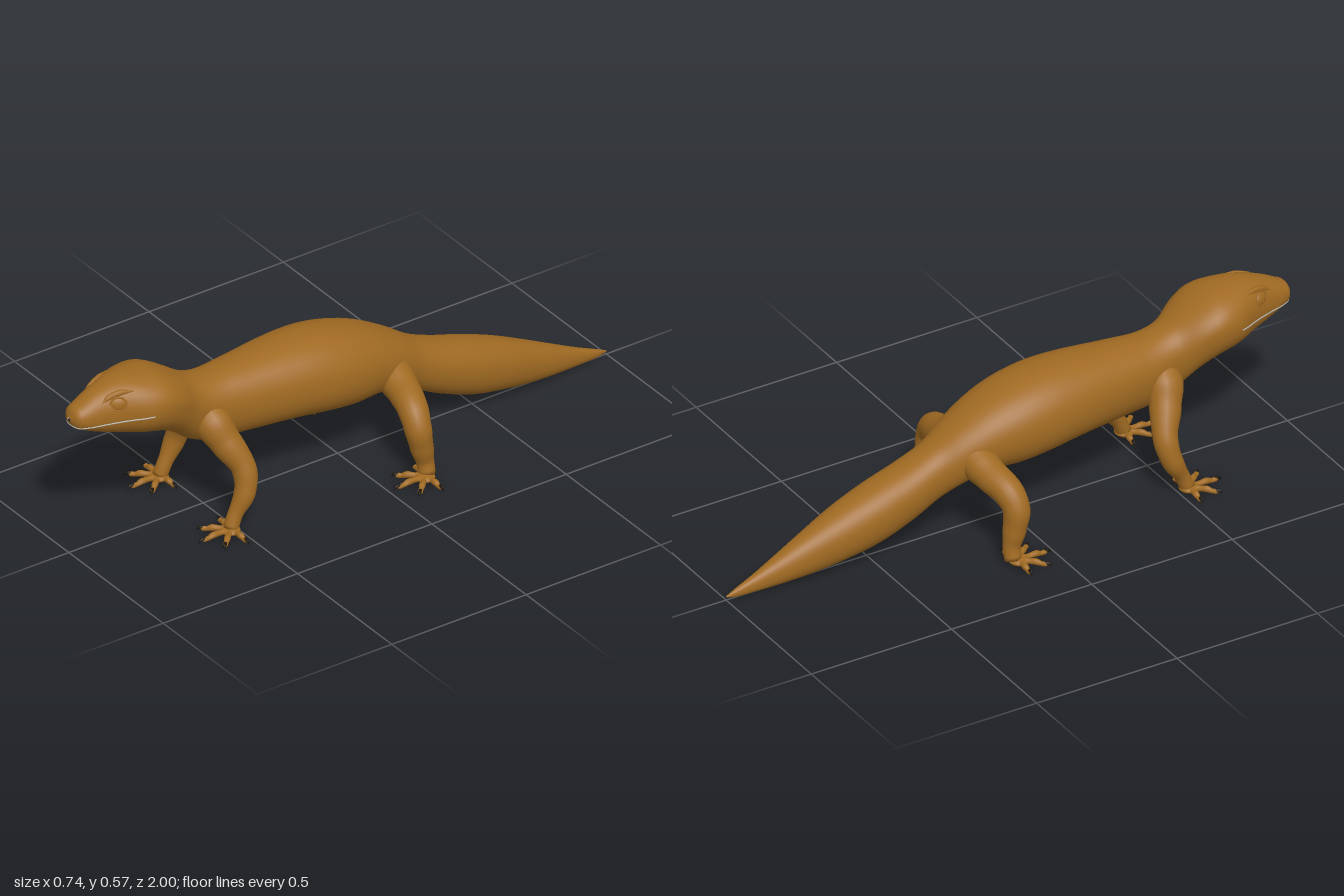
import * as THREE from 'three';

const skin = new THREE.MeshStandardMaterial({ color: 0xa06a22 });
const dark = new THREE.MeshStandardMaterial({ color: 0x1c150c });
const lip = new THREE.MeshStandardMaterial({ color: 0xb4b4b0 });

// Body sections from tail to nose: z, bottom, top, half width, height of widest point
const SECTIONS = [
  [-1, 0.012, 0.016, 0.002, 0.014], [-0.97, 0.006, 0.03, 0.009, 0.018],
  [-0.9, 0.005, 0.06, 0.021, 0.03], [-0.8, 0.008, 0.108, 0.04, 0.055],
  [-0.7, 0.015, 0.157, 0.058, 0.085], [-0.6, 0.03, 0.203, 0.075, 0.118],
  [-0.48, 0.055, 0.248, 0.086, 0.155], [-0.36, 0.1, 0.287, 0.085, 0.2],
  [-0.27, 0.145, 0.328, 0.082, 0.24], [-0.2, 0.175, 0.375, 0.1, 0.28],
  [-0.1, 0.203, 0.43, 0.125, 0.315], [0, 0.203, 0.465, 0.143, 0.33],
  [0.1, 0.215, 0.484, 0.147, 0.34], [0.2, 0.227, 0.487, 0.139, 0.35],
  [0.4, 0.237, 0.475, 0.11, 0.36], [0.5, 0.243, 0.472, 0.095, 0.37],
  [0.57, 0.268, 0.492, 0.09, 0.4], [0.64, 0.322, 0.535, 0.116, 0.455],
  [0.7, 0.355, 0.565, 0.13, 0.475], [0.77, 0.374, 0.574, 0.122, 0.475],
  [0.84, 0.392, 0.573, 0.09, 0.475], [0.91, 0.414, 0.552, 0.064, 0.472],
  [0.965, 0.438, 0.524, 0.048, 0.475], [0.99, 0.452, 0.508, 0.033, 0.48],
  [1, 0.474, 0.486, 0.008, 0.48],
];
const POWER = 2.2;
const profile = new THREE.CubicInterpolant(
  SECTIONS.map((s) => s[0]), SECTIONS.flatMap((s) => s.slice(1)), 4);
const sectionAt = (z) => Array.from(profile.evaluate(z));

// Half width of the body at a given z and height
function sideX(z, y) {
  const [bottom, top, width, mid] = sectionAt(z);
  const d = Math.min(1, Math.abs(y - mid) / (y > mid ? top - mid : mid - bottom));
  return width * Math.pow(1 - Math.pow(d, POWER), 1 / POWER);
}

// Skin a list of closed rings of points
function loft(rings) {
  const n = rings[0].length;
  const index = [];
  for (let i = 0; i < rings.length - 1; i++) {
    for (let j = 0; j < n; j++) {
      const a = i * n + j, b = i * n + ((j + 1) % n);
      index.push(a, b, a + n, b, b + n, a + n);
    }
  }
  const geometry = new THREE.BufferGeometry().setFromPoints(rings.flat());
  geometry.setIndex(index);
  geometry.computeVertexNormals();
  return geometry;
}

// Round sweep through [x, y, z, radius] points, closed at both ends
function sweep(points, steps, sides) {
  const curve = new THREE.CatmullRomCurve3(points.map((p) => new THREE.Vector3(p[0], p[1], p[2])));
  const frames = curve.computeFrenetFrames(steps);
  const rings = [];
  for (let i = 0; i <= steps; i++) {
    const t = curve.getUtoTmapping(i / steps);
    const k = Math.min(t * (points.length - 1), points.length - 1.0001);
    const f = Math.floor(k);
    const r = THREE.MathUtils.lerp(points[f][3], points[f + 1][3], THREE.MathUtils.smoothstep(k - f, 0, 1));
    const centre = curve.getPoint(t);
    rings.push(Array.from({ length: sides }, (_, j) => {
      const a = (j / sides) * Math.PI * 2;
      return centre.clone()
        .addScaledVector(frames.normals[i], Math.cos(a) * r)
        .addScaledVector(frames.binormals[i], Math.sin(a) * r);
    }));
  }
  const cap = (ring) => {
    const c = ring.reduce((s, p) => s.add(p), new THREE.Vector3()).divideScalar(sides);
    return ring.map((p) => p.clone().lerp(c, 0.999));
  };
  return loft([cap(rings[0]), ...rings, cap(rings[steps])]);
}

function add(parent, name, geometry, material = skin) {
  const mesh = new THREE.Mesh(geometry, material);
  mesh.name = name;
  parent.add(mesh);
  return mesh;
}

function bodyGeometry() {
  const rings = [];
  const sides = 40, per = 4;
  for (let i = 0; i <= (SECTIONS.length - 1) * per; i++) {
    const k = Math.min(Math.floor(i / per), SECTIONS.length - 2);
    const z = THREE.MathUtils.lerp(SECTIONS[k][0], SECTIONS[k + 1][0], i / per - k);
    const [bottom, top, width, mid] = sectionAt(z);
    rings.push(Array.from({ length: sides }, (_, j) => {
      const a = (j / sides) * Math.PI * 2;
      const c = Math.cos(a), s = Math.sin(a);
      const round = (v) => Math.sign(v) * Math.pow(Math.abs(v), 2 / POWER);
      return new THREE.Vector3(width * round(c), mid + round(s) * (s > 0 ? top - mid : mid - bottom), z);
    }));
  }
  return loft(rings);
}

// Flat palm with five knuckled toes, each ending in a hooked claw
function foot(name, x, z, side) {
  const group = new THREE.Group();
  group.name = name;
  group.position.set(x * side, 0, z);
  const palm = add(group, 'palm', new THREE.SphereGeometry(1, 20, 12));
  palm.scale.set(0.034, 0.013, 0.032);
  palm.position.set(0, 0.016, 0.004);
  const tips = [[-0.082, -0.008], [-0.07, 0.08], [0.0, 0.12], [0.075, 0.078], [0.092, -0.002]];
  for (const [tx, tz] of tips) {
    const at = (t, y, r) => [tx * t * side, y, tz * t, r];
    add(group, 'toe', sweep([at(0.1, 0.016, 0.011), at(0.35, 0.017, 0.009),
      at(0.55, 0.018, 0.0105), at(0.7, 0.013, 0.0075), at(0.84, 0.014, 0.0085), at(0.88, 0.014, 0.004)], 14, 10));
    add(group, 'claw', sweep([at(0.8, 0.017, 0.006), at(0.92, 0.017, 0.005),
      at(1, 0.006, 0.0005)], 6, 8), dark);
  }
  return group;
}

const FRONT_LEG = [[0.04, 0.37, 0.52, 0.05], [0.075, 0.33, 0.515, 0.06], [0.115, 0.275, 0.495, 0.05],
  [0.165, 0.2, 0.465, 0.039], [0.186, 0.13, 0.475, 0.034], [0.186, 0.06, 0.512, 0.024], [0.188, 0.018, 0.53, 0.024]];
const HIND_LEG = [[0.04, 0.29, -0.16, 0.06], [0.1, 0.265, -0.15, 0.058], [0.155, 0.248, -0.142, 0.052],
  [0.215, 0.228, -0.128, 0.048], [0.254, 0.182, -0.12, 0.043], [0.26, 0.115, -0.13, 0.037],
  [0.262, 0.055, -0.142, 0.028], [0.272, 0.018, -0.142, 0.027]];

export function createModel() {
  const model = new THREE.Group();
  model.name = 'lizard';
  add(model, 'body', bodyGeometry());

  // Thin lip line wrapped round the snout
  const half = [];
  for (let i = 0; i <= 12; i++) {
    const z = 0.765 + 0.228 * Math.sin((i / 12) * Math.PI / 2);
    const y = 0.458 + 0.009 * (1 - i / 12) - 0.004 * Math.sin((i / 12) * Math.PI);
    half.push(new THREE.Vector3(sideX(z, y), y, z));
  }
  const mirrored = half.map((p) => new THREE.Vector3(-p.x, p.y, p.z)).reverse();
  const mouthCurve = new THREE.CatmullRomCurve3([...half, ...mirrored]);
  add(model, 'mouth', new THREE.TubeGeometry(mouthCurve, 80, 0.0025, 6), lip);

  for (const side of [1, -1]) {
    const label = side > 0 ? 'left' : 'right';
    const mirror = (points) => points.map(([x, y, z, r]) => [x * side, y, z, r]);

    // Almond eye with lids and a brow ridge
    const eye = new THREE.Group();
    eye.name = label + 'Eye';
    eye.position.set((sideX(0.865, 0.522) - 0.001) * side, 0.522, 0.865);
    eye.rotation.set(-0.25, side * 1.1, 0, 'YXZ');
    add(eye, 'eyeball', new THREE.SphereGeometry(1, 20, 14)).scale.set(0.024, 0.019, 0.007);
    add(eye, 'eyelid', new THREE.TorusGeometry(0.025, 0.0035, 8, 28)).scale.set(1, 0.85, 1);
    model.add(eye);
    const brow = [0.81, 0.85, 0.885, 0.91].map((z, i) => {
      const y = [0.55, 0.549, 0.54, 0.526][i];
      return [(sideX(z, y) - 0.004) * side, y, z, [0.004, 0.01, 0.009, 0.003][i]];
    });
    add(model, label + 'Brow', sweep(brow, 14, 10));

    const nostril = add(model, label + 'Nostril', new THREE.SphereGeometry(0.0035, 10, 8), dark);
    nostril.position.set(0.026 * side, 0.487, 0.989);

    add(model, label + 'FrontLeg', sweep(mirror(FRONT_LEG), 36, 20));
    add(model, label + 'HindLeg', sweep(mirror(HIND_LEG), 36, 20));
    model.add(foot(label + 'FrontFoot', 0.19, 0.53, side));
    model.add(foot(label + 'HindFoot', 0.28, -0.132, side));
  }
  return model;
}
